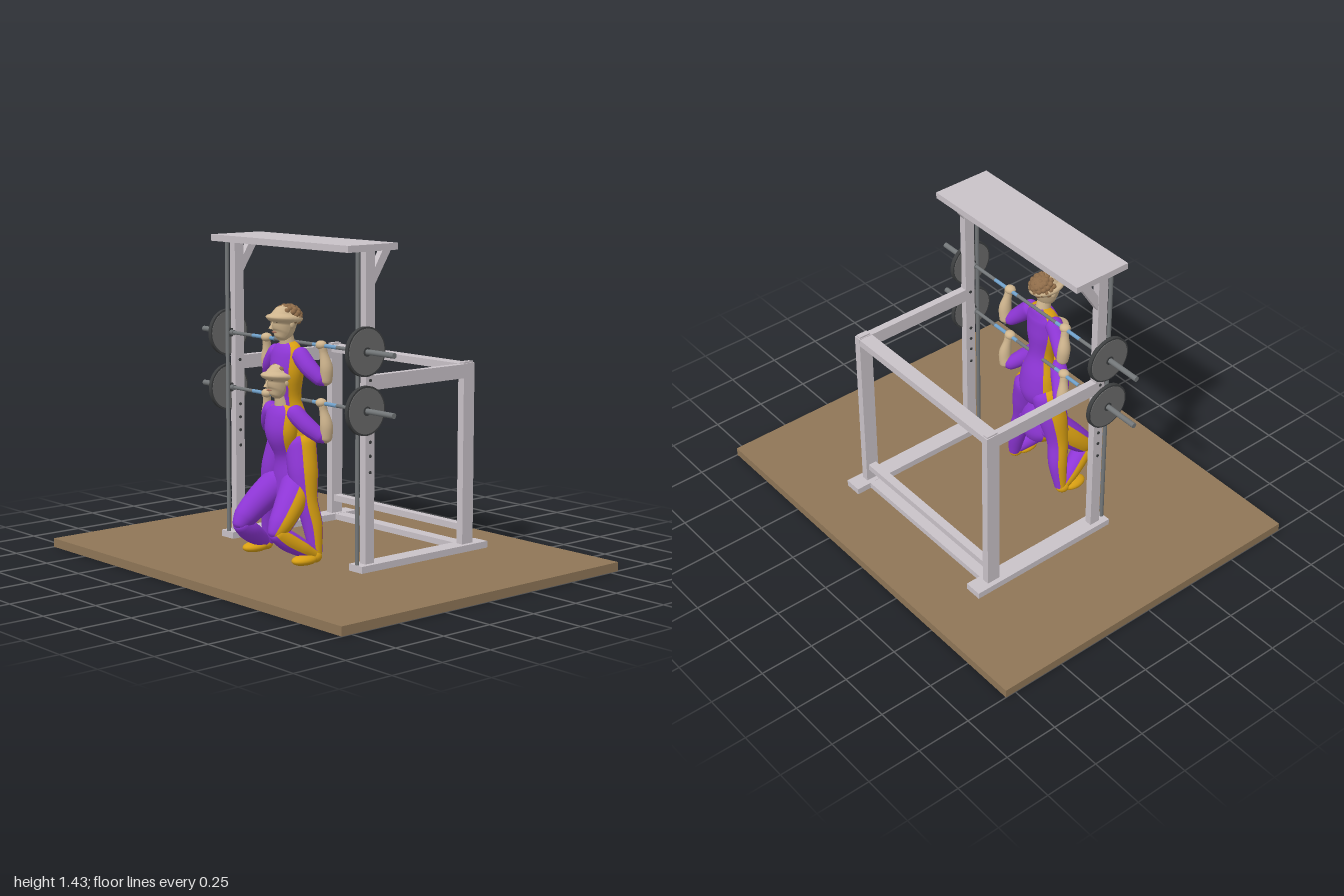
import * as THREE from 'three';

const CX = -0.035; // middle of the rack, bars and lifters
const mat = (color) => new THREE.MeshStandardMaterial({ color });
const M = {
  floor: mat(0x8f7657), frame: mat(0xc9c2c8), rod: mat(0x727678), plate: mat(0x6a6a6a), rim: mat(0x3d3f40),
  grip: mat(0x6f9fc8), suit: mat(0x8e36d6), stripe: mat(0xd9a012), skin: mat(0xcfb58e), hair: mat(0x8f6c49), eye: mat(0x3a2c22),
};

function add(parent, name, geometry, material, x = 0, y = 0, z = 0) {
  const mesh = new THREE.Mesh(geometry, material);
  mesh.name = name;
  mesh.position.set(x, y, z);
  parent.add(mesh);
  return mesh;
}

// Box given by its lower and upper limits
function box(parent, name, material, [x0, x1], [y0, y1], [z0, z1]) {
  return add(parent, name, new THREE.BoxGeometry(x1 - x0, y1 - y0, z1 - z0), material,
    (x0 + x1) / 2, (y0 + y1) / 2, (z0 + z1) / 2);
}

// Cylinder lying along x
function rodX(parent, name, material, r, x0, x1, y, z, sides = 20) {
  const g = new THREE.CylinderGeometry(r, r, x1 - x0, sides).rotateZ(Math.PI / 2);
  return add(parent, name, g, material, (x0 + x1) / 2, y, z);
}

function ball(parent, name, material, [x, y, z], [rx, ry, rz], detail = 20) {
  const m = add(parent, name, new THREE.SphereGeometry(1, detail, Math.ceil(detail * 0.7)), material, x, y, z);
  m.scale.set(rx, ry, rz);
  return m;
}

// Smooth body part through rings [x, y, z, radiusU, radiusV]; only angles a0..a1 are built
function loft(parent, name, material, rings, ref, a0 = 0, a1 = Math.PI * 2) {
  const path = new THREE.CatmullRomCurve3(rings.map((r) => new THREE.Vector3(r[0], r[1], r[2])));
  const radii = new THREE.CatmullRomCurve3(rings.map((r) => new THREE.Vector3(r[3], r[4], 0)));
  const rows = (rings.length - 1) * 5, cols = Math.max(4, Math.round((a1 - a0) * 4.5));
  const pos = [], index = [];
  for (let i = 0; i <= rows; i++) {
    const c = path.getPoint(i / rows), t = path.getTangent(i / rows), r = radii.getPoint(i / rows);
    const u = ref.clone().addScaledVector(t, -ref.dot(t)).normalize();
    const v = t.clone().cross(u);
    for (let j = 0; j <= cols; j++) {
      const a = a0 + (a1 - a0) * j / cols;
      const p = c.clone().addScaledVector(u, Math.cos(a) * r.x).addScaledVector(v, Math.sin(a) * r.y);
      pos.push(p.x, p.y, p.z);
      if (i < rows && j < cols) {
        const k = i * (cols + 1) + j, n = k + cols + 1;
        index.push(k, k + 1, n + 1, k, n + 1, n);
      }
    }
  }
  const g = new THREE.BufferGeometry();
  g.setAttribute('position', new THREE.Float32BufferAttribute(pos, 3));
  g.setIndex(index);
  g.computeVertexNormals();
  return add(parent, name, g, material);
}

const X = new THREE.Vector3(1, 0, 0), Z = new THREE.Vector3(0, 0, 1);

// Suit leg piece with a yellow stripe down the outer side
function stripedLeg(parent, name, s, rings) {
  const pts = rings.map(([x, ...rest]) => [s * x, ...rest]);
  const mid = s > 0 ? 0 : Math.PI, w = 0.62;
  loft(parent, name, M.suit, pts, X, mid + w, mid + 2 * Math.PI - w);
  loft(parent, name + 'Stripe', M.stripe, pts, X, mid - w, mid + w);
}

function buildHead(parent, y, z) {
  const head = new THREE.Group();
  head.name = 'head';
  head.position.set(0, y, z);
  parent.add(head);
  loft(head, 'neck', M.skin, [[0, -0.11, -0.02, 0.036, 0.036], [0, -0.06, -0.01, 0.03, 0.032], [0, -0.02, 0, 0.03, 0.03]], X);
  loft(head, 'face', M.skin, [[0, -0.073, 0.03, 0.004, 0.004], [0, -0.066, 0.026, 0.024, 0.026], [0, -0.04, 0.012, 0.042, 0.05],
    [0, 0, 0.004, 0.05, 0.062], [0, 0.04, 0, 0.05, 0.062], [0, 0.07, 0, 0.028, 0.036], [0, 0.078, 0, 0.003, 0.003]], X);
  const nose = add(head, 'nose', new THREE.ConeGeometry(0.011, 0.038, 8), M.skin, 0, -0.004, 0.07);
  nose.rotation.x = -0.35;
  ball(head, 'mouth', mat(0xa8705c), [0, -0.036, 0.058], [0.016, 0.004, 0.006], 10);
  for (const s of [-1, 1]) {
    ball(head, 'eye', M.eye, [s * 0.02, 0.012, 0.058], [0.007, 0.005, 0.005], 10);
    ball(head, 'eyebrow', M.hair, [s * 0.021, 0.025, 0.058], [0.012, 0.003, 0.005], 10);
    ball(head, 'ear', M.skin, [s * 0.051, -0.002, -0.002], [0.008, 0.018, 0.012], 12);
  }
  // Hair: a cap covered in evenly spread curls
  ball(head, 'hairCap', M.hair, [0, 0.03, -0.024], [0.055, 0.05, 0.06]);
  for (let i = 0; i < 64; i++) {
    const h = 1 - 1.5 * (i + 0.5) / 64, a = i * 2.39996, r = Math.sqrt(1 - h * h);
    const z0 = Math.sin(a) * r;
    if (z0 > 0.25 && h < 0.5) continue;
    ball(head, 'curl', M.hair, [Math.cos(a) * r * 0.052, 0.026 + h * 0.046, -0.016 + z0 * 0.058], [0.014, 0.013, 0.014], 8);
  }
}

function buildLifter(name, barY, squat) {
  const g = new THREE.Group();
  g.name = name;
  g.position.x = CX;
  const lean = squat ? 0.03 : 0, hipZ = squat ? 0.19 : 0.18;
  // Torso: purple front and back, yellow sides
  const torso = [[-0.53, hipZ, 0.012, 0.012], [-0.49, hipZ, 0.07, 0.06], [-0.43, hipZ, 0.1, 0.072], [-0.35, hipZ + 0.005, 0.09, 0.066],
    [-0.245, 0.2 + lean / 3, 0.062, 0.052], [-0.13, 0.21 + lean, 0.086, 0.064], [-0.05, 0.205 + lean, 0.088, 0.056],
    [-0.01, 0.2 + lean, 0.06, 0.042], [0.005, 0.2 + lean, 0.03, 0.03]].map(([y, z, rx, rz]) => [0, (squat ? y * 0.9 - 0.02 : y) + barY, z, rx, rz]);
  for (const [n, m, a, b] of [['torsoBack', M.suit, 0.6, Math.PI - 0.6], ['torsoFront', M.suit, Math.PI + 0.75, 2 * Math.PI - 0.75],
    ['leftSidePanel', M.stripe, -0.75, 0.6], ['rightSidePanel', M.stripe, Math.PI - 0.6, Math.PI + 0.75]]) loft(g, n, m, torso, X, a, b);
  buildHead(g, barY + 0.085, 0.222 + lean);

  for (const s of [-1, 1]) {
    const side = s > 0 ? 'left' : 'right';
    // Arms folded up to the bar
    loft(g, side + 'Sleeve', M.suit, [[s * 0.05, barY - 0.035, 0.2 + lean, 0.01, 0.01], [s * 0.075, barY - 0.05, 0.2 + lean, 0.04, 0.04],
      [s * 0.125, barY - 0.1, 0.19 + lean / 2, 0.04, 0.038], [s * 0.175, barY - 0.15, 0.165, 0.032, 0.03],
      [s * 0.195, barY - 0.168, 0.155, 0.012, 0.012]], Z);
    loft(g, side + 'Forearm', M.skin, [[s * 0.19, barY - 0.175, 0.152, 0.006, 0.006], [s * 0.194, barY - 0.155, 0.152, 0.026, 0.026],
      [s * 0.2, barY - 0.1, 0.155, 0.029, 0.027], [s * 0.192, barY - 0.03, 0.165, 0.018, 0.018], [s * 0.19, barY, 0.17, 0.018, 0.02]], Z);
    ball(g, side + 'Hand', M.skin, [s * 0.185, barY + 0.002, 0.172], [0.026, 0.02, 0.024]);
    // Legs
    if (squat) {
      stripedLeg(g, side + 'Thigh', s, [[0.03, 0.4, 0.17, 0.02, 0.02], [0.06, 0.365, 0.205, 0.075, 0.07], [0.1, 0.285, 0.285, 0.066, 0.064],
        [0.12, 0.215, 0.352, 0.052, 0.052], [0.122, 0.175, 0.385, 0.03, 0.03], [0.122, 0.163, 0.392, 0.003, 0.003]]);
      stripedLeg(g, side + 'Shin', s, [[0.12, 0.205, 0.392, 0.004, 0.004], [0.122, 0.188, 0.375, 0.04, 0.036], [0.132, 0.148, 0.32, 0.046, 0.046],
        [0.152, 0.108, 0.255, 0.04, 0.04], [0.168, 0.075, 0.2, 0.027, 0.027]]);
    } else {
      stripedLeg(g, side + 'Leg', s, [[0.045, 0.6, 0.18, 0.03, 0.03], [0.06, 0.54, 0.183, 0.068, 0.07], [0.09, 0.43, 0.195, 0.066, 0.068],
        [0.122, 0.3, 0.2, 0.046, 0.05], [0.142, 0.2, 0.185, 0.042, 0.046], [0.165, 0.07, 0.185, 0.026, 0.028]]);
    }
    // Shoes
    ball(g, side + 'Shoe', M.stripe, [s * 0.17, 0.058, 0.255], [0.042, 0.024, 0.065]);
    ball(g, side + 'Heel', M.stripe, [s * 0.168, 0.064, 0.195], [0.03, 0.028, 0.034]);
  }
  return g;
}

function buildBarbell(y) {
  const g = new THREE.Group(), z = 0.169;
  g.name = 'barbell';
  g.position.x = CX;
  rodX(g, 'bar', M.rod, 0.008, -0.46, 0.46, y, z);
  for (const s of [-1, 1]) {
    const span = (a, b) => (s > 0 ? [a, b] : [-b, -a]);
    rodX(g, 'sleeve', M.rod, 0.012, ...span(0.42, 0.643), y, z);
    rodX(g, 'gripZone', M.grip, 0.0085, ...span(0.13, 0.285), y, z);
    rodX(g, 'weightRim', M.rim, 0.106, ...span(0.455, 0.473), y, z, 40);
    rodX(g, 'weightPlate', M.plate, 0.098, ...span(0.453, 0.4755), y, z, 40);
    rodX(g, 'collar', M.rim, 0.02, ...span(0.44, 0.478), y, z);
  }
  return g;
}

function buildRack() {
  const g = new THREE.Group();
  g.name = 'rack';
  const f = M.frame;
  for (const s of [-1, 1]) {
    const c = CX + s * 0.4405, w = [c - 0.0175, c + 0.0175];
    box(g, 'baseRail', f, [c - 0.041, c + 0.041], [0.045, 0.075], [-0.553, 0.2]);
    box(g, 'frontPost', f, w, [0.04, 1.41], [0.11, 0.16]);
    box(g, 'rearPost', f, w, [0.07, 0.885], [-0.483, -0.418]);
    box(g, 'rearPostCap', f, [c - 0.013, c + 0.013], [0.88, 0.892], [-0.478, -0.424]);
    box(g, 'sideRail', f, [c - 0.0165, c + 0.0165], [0.82, 0.882], [-0.42, 0.112]);
    add(g, 'guideRod', new THREE.CylinderGeometry(0.009, 0.009, 1.34, 16), M.rod, c, 0.74, 0.191);
    // Diagonal brace under the canopy, drawn in the z-y plane
    const brace = new THREE.Shape([[0.112, 1.26], [0.112, 1.33], [0.065, 1.406], [0.018, 1.406]].map(([z, y]) => new THREE.Vector2(-z, y)));
    const bg = new THREE.ExtrudeGeometry(brace, { depth: 0.03, bevelEnabled: false }).rotateY(Math.PI / 2);
    add(g, 'brace', bg, f, c - 0.015);
    // Adjustment pins
    for (const y of [0.47, 0.54, 0.6, 0.66, 0.863]) rodX(g, 'pin', M.rim, 0.007, c - 0.021, c + 0.021, y, 0.135, 12);
  }
  const across = [CX - 0.44, CX + 0.44];
  box(g, 'canopy', f, [CX - 0.458, CX + 0.465], [1.405, 1.434], [-0.013, 0.266]);
  box(g, 'rearTopBeam', f, across, [0.85, 0.883], [-0.482, -0.416]);
  box(g, 'rearLowerBar', f, across, [0.133, 0.162], [-0.47, -0.43]);
  box(g, 'rearBaseBar', f, across, [0.047, 0.074], [-0.482, -0.42]);
  return g;
}

export function createModel() {
  const model = new THREE.Group();
  model.name = 'squatStation';
  box(model, 'floor', M.floor, [-1, 1], [0, 0.04], [-0.8, 0.8]);
  model.add(buildRack(), buildBarbell(0.988), buildBarbell(0.738));
  model.add(buildLifter('standingLifter', 0.988, false), buildLifter('squattingLifter', 0.738, true));
  return model;
}
